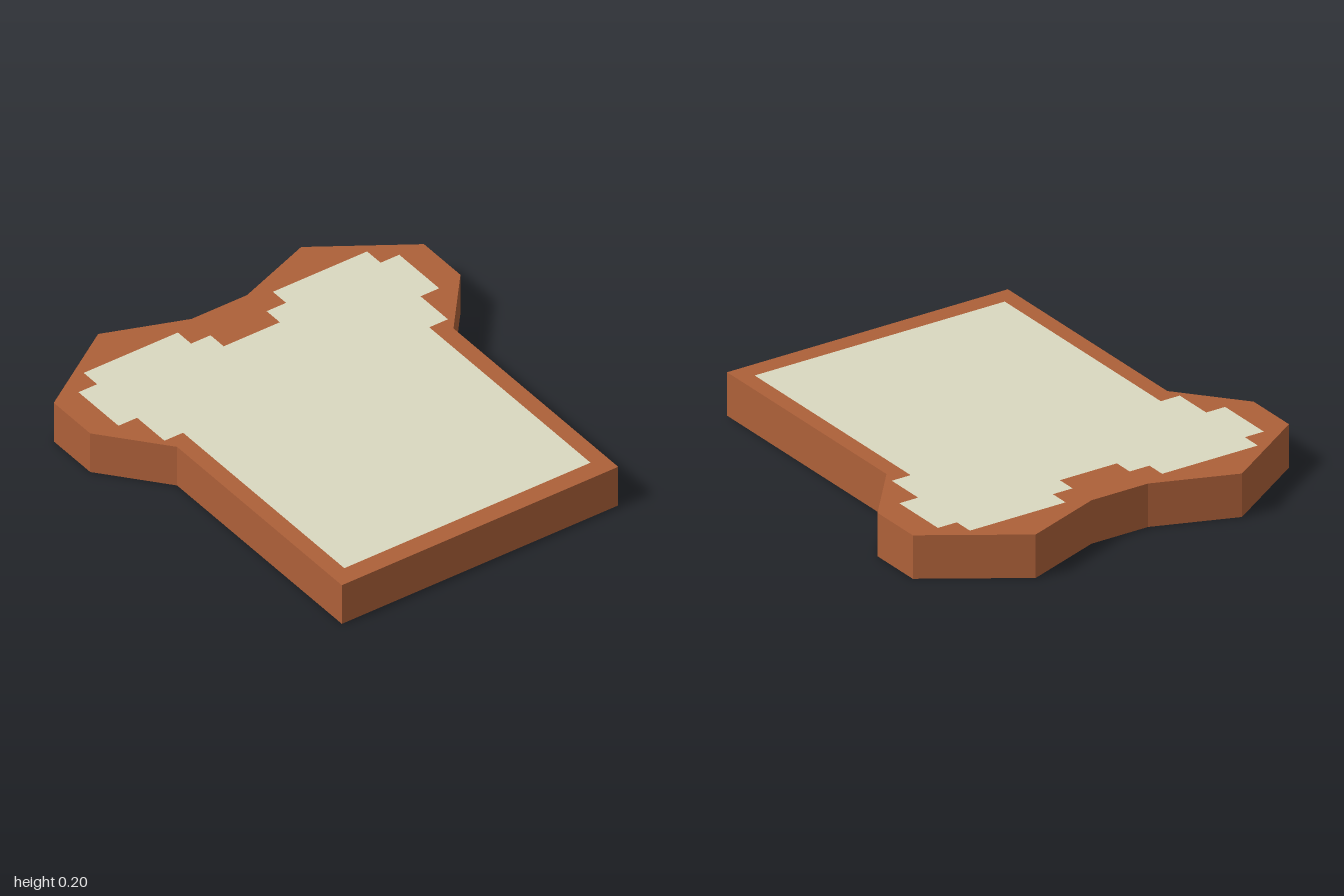
import * as THREE from 'three';

const THICKNESS = 0.2;

// Half profiles as [x, z]; the other half is mirrored across z = 0.
const CRUST = [[1, 0.704], [-0.175, 0.704], [-0.46, 0.943], [-0.72, 0.943], [-1, 0.517], [-0.86, 0.142]];
const CRUMB = [
  [0.91, 0.627], [-0.24, 0.627], [-0.24, 0.722], [-0.435, 0.722], [-0.435, 0.817], [-0.72, 0.817],
  [-0.72, 0.722], [-0.816, 0.722], [-0.816, 0.242], [-0.722, 0.242], [-0.722, 0.143], [-0.628, 0.143],
];

function mirrored(half) {
  const other = half.map(([x, z]) => [x, -z]).reverse();
  return [...half, ...other].map(([x, z]) => new THREE.Vector2(x, z));
}

// Extrudes a flat shape upwards and keeps only its caps (0) or its walls (1).
function slabPart(shape, groupIndex) {
  const slab = new THREE.ExtrudeGeometry(shape, { depth: THICKNESS, bevelEnabled: false });
  const { start, count } = slab.groups[groupIndex];
  const part = new THREE.BufferGeometry();
  for (const [key, size] of [['position', 3], ['normal', 3], ['uv', 2]]) {
    const values = slab.attributes[key].array.slice(start * size, (start + count) * size);
    part.setAttribute(key, new THREE.BufferAttribute(values, size));
  }
  return part.rotateX(-Math.PI / 2);
}

export function createModel() {
  const crustBrown = new THREE.MeshStandardMaterial({ color: 0xad6039 });
  crustBrown.name = 'crust brown';
  const crumbCream = new THREE.MeshStandardMaterial({ color: 0xdad9c0 });
  crumbCream.name = 'crumb cream';

  const group = new THREE.Group();
  group.name = 'breadSlice';
  const add = (name, geometry, material) => {
    const mesh = new THREE.Mesh(geometry, material);
    mesh.name = name;
    group.add(mesh);
  };

  // Outer wall of the slice
  const outline = new THREE.Shape(mirrored(CRUST));
  add('crustWall', slabPart(outline, 1), crustBrown);

  // Crust border on the top and bottom faces
  const border = new THREE.Shape(mirrored(CRUST));
  border.holes.push(new THREE.Path(mirrored(CRUMB)));
  add('crustBorder', slabPart(border, 0), crustBrown);

  // Crumb, flush with the border on both faces
  add('crumb', slabPart(new THREE.Shape(mirrored(CRUMB)), 0), crumbCream);

  return group;
}
